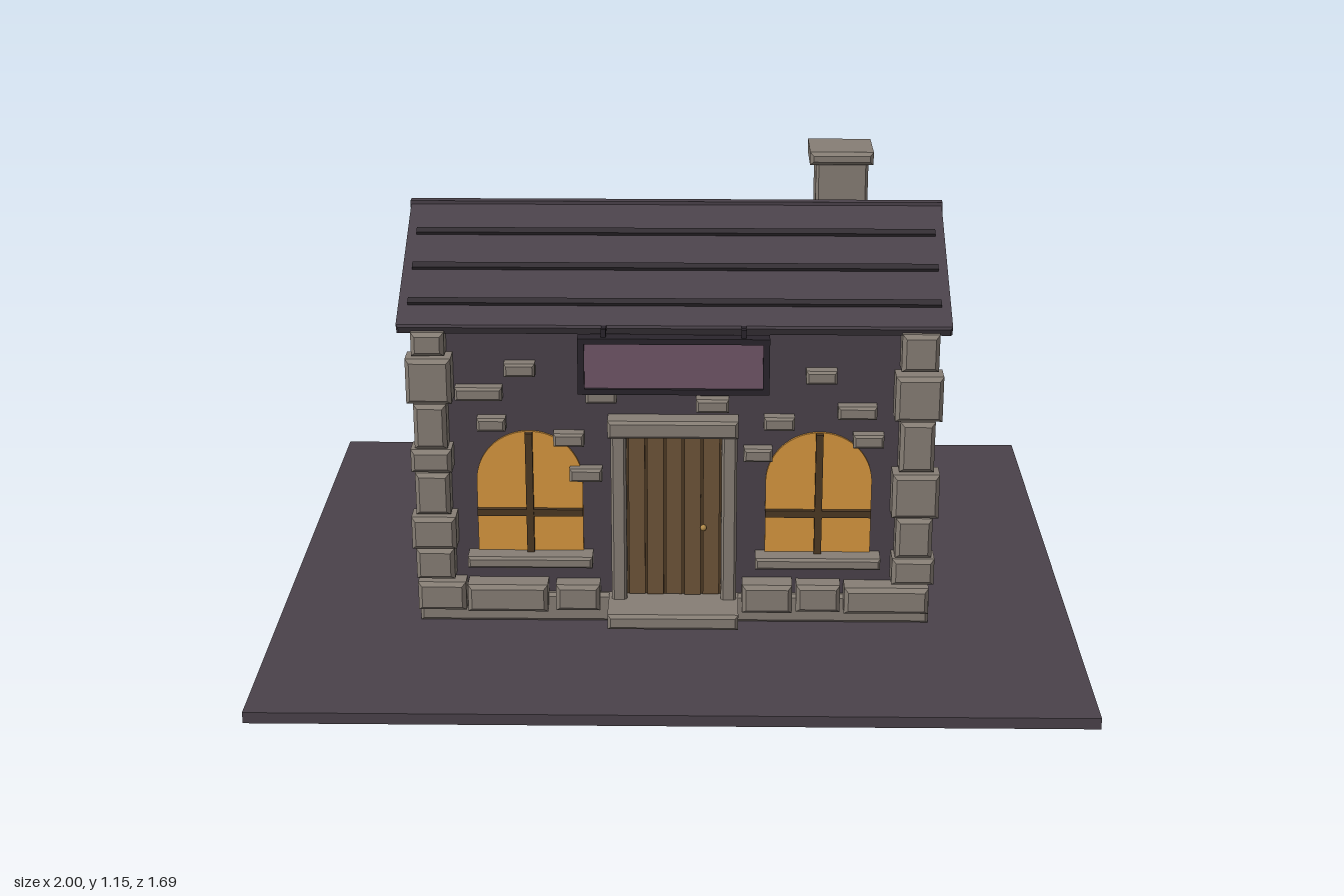
import * as THREE from 'three';

const mat = (name, color) => Object.assign(new THREE.MeshStandardMaterial({ color }), { name });

export function createModel() {
  const slate = mat('slate', 0x4a424a);
  const darkSlate = mat('dark slate', 0x332e33);
  const stone = mat('stone', 0x877e75);
  const wood = mat('door wood', 0x6e5539);
  const darkWood = mat('dark wood', 0x4b3823);
  const glow = mat('lit glass', 0xd8983f);
  const plum = mat('sign plum', 0x705667);
  const iron = mat('iron', 0x2a252c);
  const brass = mat('brass', 0xb08a4a);

  const root = new THREE.Group();
  root.name = 'cottage';

  const add = (parent, name, geo, material) => {
    const m = new THREE.Mesh(geo, material);
    m.name = name;
    parent.add(m);
    return m;
  };
  // Plain box given by its limits
  const box = (name, material, x0, x1, y0, y1, z0, z1, parent = root) => {
    const m = add(parent, name, new THREE.BoxGeometry(x1 - x0, y1 - y0, z1 - z0), material);
    m.position.set((x0 + x1) / 2, (y0 + y1) / 2, (z0 + z1) / 2);
    return m;
  };
  // Box with chamfered front and back rims, given by its limits
  const block = (name, material, x0, x1, y0, y1, z0, z1, b = 0.008, parent = root) => {
    const s = new THREE.Shape();
    s.moveTo(x0 + b, y0 + b);
    s.lineTo(x1 - b, y0 + b);
    s.lineTo(x1 - b, y1 - b);
    s.lineTo(x0 + b, y1 - b);
    s.closePath();
    const g = new THREE.ExtrudeGeometry(s, {
      depth: z1 - z0 - 2 * b, bevelEnabled: true, bevelThickness: b, bevelSize: b, bevelSegments: 1,
    });
    g.translate(0, 0, z0 + b);
    return add(parent, name, g, material);
  };

  // Ground, foundation and walls
  box('ground', slate, -1, 1, 0, 0.028, -0.845, 0.845);
  block('foundation', stone, -0.64, 0.64, 0.028, 0.105, -0.36, 0.36);
  box('walls', slate, -0.62, 0.62, 0.03, 0.815, -0.345, 0.345);

  // Corner stones: width, bottom, top
  const corners = {
    '-1': [[0.08, 0.75, 0.81], [0.11, 0.63, 0.745], [0.08, 0.51, 0.625], [0.1, 0.45, 0.51],
      [0.085, 0.335, 0.445], [0.11, 0.245, 0.33], [0.095, 0.16, 0.242]],
    '1': [[0.09, 0.715, 0.81], [0.115, 0.59, 0.705], [0.085, 0.455, 0.585], [0.115, 0.335, 0.45],
      [0.09, 0.225, 0.33], [0.105, 0.155, 0.225]],
  };
  for (const side of [-1, 1]) {
    corners[side].forEach(([w, y0, y1], i) => {
      const cx = side * 0.593;
      block('cornerStone', stone, cx - w / 2, cx + w / 2, y0, y1, 0.335, 0.4 + (i % 2) * 0.008, 0.01);
    });
  }

  // Base course: left, right
  [[-0.64, -0.52], [-0.515, -0.315], [-0.295, -0.185], [0.17, 0.295], [0.305, 0.415], [0.425, 0.635]]
    .forEach(([a, b], i) =>
      block('baseStone', stone, a, b, 0.072, 0.148 - (i % 3) * 0.003, 0.335, 0.395 + (i % 2) * 0.008, 0.01));

  // Scattered facing stones: centre x, centre y, width
  [[-0.375, 0.707, 0.075], [-0.476, 0.645, 0.115], [-0.447, 0.565, 0.07], [-0.258, 0.526, 0.075],
    [-0.217, 0.433, 0.08], [-0.177, 0.64, 0.075], [0.094, 0.617, 0.08], [0.358, 0.692, 0.075],
    [0.447, 0.6, 0.095], [0.257, 0.571, 0.075], [0.206, 0.488, 0.07], [0.476, 0.526, 0.075]]
    .forEach(([x, y, w]) =>
      block('facingStone', stone, x - w / 2, x + w / 2, y - 0.017, y + 0.017, 0.338, 0.378, 0.006));

  // Arched windows
  for (const side of [-1, 1]) {
    const win = new THREE.Group();
    win.name = side > 0 ? 'leftWindow' : 'rightWindow';
    win.position.x = side * 0.357;
    root.add(win);
    const arch = new THREE.Shape();
    arch.moveTo(-0.131, 0.215);
    arch.lineTo(0.131, 0.215);
    arch.lineTo(0.131, 0.41);
    arch.absarc(0, 0.41, 0.131, 0, Math.PI, false);
    arch.closePath();
    const pane = new THREE.ExtrudeGeometry(arch, { depth: 0.008, bevelEnabled: false, curveSegments: 20 });
    add(win, 'pane', pane, glow).position.z = 0.344;
    box('mullion', darkWood, -0.009, 0.009, 0.215, 0.54, 0.345, 0.366, win);
    box('crossbar', darkWood, -0.131, 0.131, 0.319, 0.337, 0.345, 0.364, win);
    block('sill', stone, -0.155, 0.155, 0.192, 0.222, 0.338, 0.4, 0.006, win);
  }

  // Door with planks, frame and step
  box('doorBacking', darkWood, -0.118, 0.118, 0.1, 0.545, 0.34, 0.356);
  for (let i = 0; i < 5; i++) {
    const x = -0.115 + i * 0.046;
    box('doorPlank', wood, x + 0.003, x + 0.043, 0.11, 0.54, 0.35, 0.366 + (i % 2) * 0.003);
  }
  const knob = add(root, 'doorKnob', new THREE.SphereGeometry(0.008, 10, 8), brass);
  knob.position.set(0.073, 0.295, 0.374);
  for (const s of [-1, 1]) {
    block('doorJamb', stone, s * 0.136 - 0.019, s * 0.136 + 0.019, 0.05, 0.55, 0.338, 0.392, 0.006);
  }
  block('doorLintel', stone, -0.162, 0.157, 0.54, 0.585, 0.338, 0.4, 0.007);
  block('doorStep', stone, -0.163, 0.16, 0.066, 0.106, 0.345, 0.485, 0.008);

  // Hanging sign with frame, hangers and bar
  box('signBoard', plum, -0.222, 0.222, 0.675, 0.803, 0.4, 0.424);
  for (const s of [-1, 1]) {
    box('signFrameSide', iron, s * 0.222 - 0.008, s * 0.222 + 0.008, 0.67, 0.808, 0.398, 0.432);
    box('signHanger', iron, s * 0.168 - 0.006, s * 0.168 + 0.006, 0.8, 0.83, 0.41, 0.422);
    box('signBracket', iron, s * 0.168 - 0.006, s * 0.168 + 0.006, 0.815, 0.827, 0.34, 0.422);
  }
  for (const y of [0.675, 0.803]) box('signFrameRail', iron, -0.23, 0.23, y - 0.007, y + 0.007, 0.398, 0.432);

  // Roof: two thin slabs with open gables, battens on the front slope
  for (const s of [1, -1]) {
    const slope = new THREE.Group();
    slope.name = s > 0 ? 'frontRoof' : 'backRoof';
    slope.position.y = 1.028;
    slope.rotation.x = s * 0.484;
    root.add(slope);
    const z = s > 0 ? [0, 0.437] : [-0.437, 0];
    block('roofSlab', slate, -0.668, 0.668, -0.03, 0, z[0], z[1], 0.005, slope);
    if (s > 0) {
      for (const d of [0.115, 0.237, 0.358]) {
        box('roofBatten', darkSlate, -0.645, 0.645, -0.004, 0.009, d - 0.009, d + 0.009, slope);
      }
    }
  }
  box('roofRidge', slate, -0.67, 0.67, 1.0, 1.03, -0.012, 0.012);

  // Chimney
  block('chimneyShaft', stone, 0.353, 0.485, 0.86, 1.125, -0.163, -0.038, 0.007);
  block('chimneyCap', stone, 0.337, 0.497, 1.115, 1.148, -0.178, -0.024, 0.009);

  return root;
}
